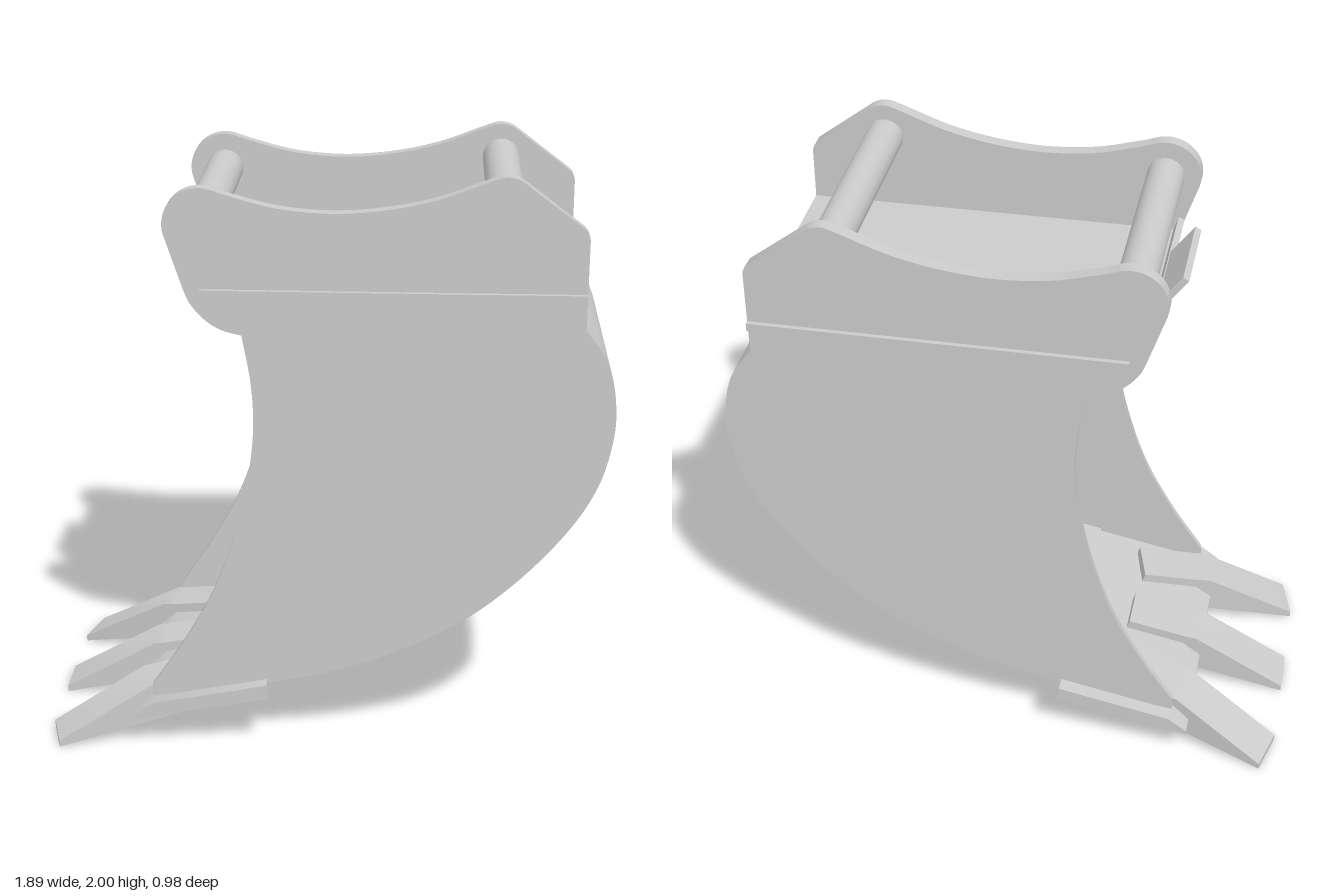
import * as THREE from 'three';
import { toCreasedNormals } from 'three/addons/utils/BufferGeometryUtils.js';

const material = new THREE.MeshStandardMaterial({ color: 0xcccccc });
const vec = ([x, y]) => new THREE.Vector2(x, y);
const curve = (pts, n = 40) => new THREE.SplineCurve(pts.map(vec)).getPoints(n);
const arc = (cx, cy, r, from, to, n = 16) => Array.from({ length: n + 1 }, (_, i) => {
  const a = THREE.MathUtils.degToRad(from + (to - from) * i / n);
  return new THREE.Vector2(cx + r * Math.cos(a), cy + r * Math.sin(a));
});

// Extrudes a closed side profile (x, y) between two z positions
function slab(name, points, z0, z1) {
  const geo = new THREE.ExtrudeGeometry(new THREE.Shape(points), { depth: z1 - z0, bevelEnabled: false });
  geo.translate(0, 0, z0);
  const mesh = new THREE.Mesh(toCreasedNormals(geo, 0.45), material);
  mesh.name = name;
  return mesh;
}

// Gives a line thickness t on its left side
function thicken(line, t) {
  const inner = line.map((p, i) => {
    const a = line[Math.max(i - 1, 0)], b = line[Math.min(i + 1, line.length - 1)];
    const d = b.clone().sub(a).normalize();
    return new THREE.Vector2(p.x - d.y * t, p.y + d.x * t);
  });
  return [...line, ...inner.reverse()];
}

function box(name, x0, x1, y0, y1, z0, z1) {
  const mesh = new THREE.Mesh(new THREE.BoxGeometry(x1 - x0, y1 - y0, z1 - z0), material);
  mesh.position.set((x0 + x1) / 2, (y0 + y1) / 2, (z0 + z1) / 2);
  mesh.name = name;
  return mesh;
}

export function createModel() {
  const group = new THREE.Group();
  group.name = 'excavatorBucket';

  // Shared profile lines
  const back = curve([[0.84, 1.51], [0.91, 1.41], [0.942, 1.29], [0.944, 1.15], [0.9, 0.975], [0.8, 0.805],
    [0.63, 0.615], [0.44, 0.465], [0.2, 0.345], [0, 0.277], [-0.19, 0.235]], 60);
  const mouth = curve([[-0.58, 0.22], [-0.46, 0.4], [-0.35, 0.61], [-0.27, 0.86], [-0.228, 1.1],
    [-0.228, 1.29], [-0.258, 1.475]]);
  const throat = curve([[-0.45, 1.65], [-0.425, 1.585], [-0.38, 1.53], [-0.325, 1.493], [-0.258, 1.475]], 16);

  const sidePlate = [...back, vec([-0.58, 0.175]), ...mouth];
  const ear = [
    ...throat, vec([0.84, 1.51]),
    ...arc(0.79, 1.8, 0.05, 0, 52, 8),
    ...arc(0.58, 1.915, 0.085, 53, 112, 10),
    ...curve([[0.5, 1.976], [0.36, 1.925], [0.2, 1.891], [0.03, 1.878], [-0.14, 1.892], [-0.29, 1.93], [-0.345, 1.948]], 30),
    ...arc(-0.385, 1.835, 0.12, 75, 195, 20),
  ];

  // Side plates, mounting ears and outer stiffener strips
  for (const [side, s] of [['left', 1], ['right', -1]]) {
    const span = (a, b) => (s > 0 ? [a, b] : [-b, -a]);
    const [name1, name2, name3] = ['SidePlate', 'Ear', 'Stiffener'].map((n) => side + n);
    group.add(slab(name1, sidePlate, ...span(0.41, 0.43)));
    group.add(slab(name2, ear, ...span(0.385, 0.431)));
    group.add(box(name3, -0.39, 0.84, 1.6, 1.627, ...span(0.43, 0.447)));
  }

  // Curved back shell, upper back plate and roof plate
  group.add(slab('backShell', thicken([...back].reverse(), 0.025), -0.411, 0.411));
  group.add(box('upperBackPlate', 0.815, 0.84, 1.505, 1.627, -0.386, 0.386));
  group.add(box('roofPlate', -0.425, 0.815, 1.6, 1.627, -0.386, 0.386));

  // Curved throat plate with a raised central tab
  group.add(slab('throatPlate', thicken([vec([-0.456, 1.67]), ...throat], 0.022), -0.386, 0.386));
  group.add(slab('throatTab', [[-0.452, 1.655], [-0.432, 1.668], [-0.515, 1.78], [-0.535, 1.768]].map(vec), -0.16, 0.16));

  // Mounting pins
  for (const [name, x, y] of [['frontPin', -0.385, 1.835], ['rearPin', 0.58, 1.885]]) {
    const pin = new THREE.Mesh(new THREE.CylinderGeometry(0.063, 0.063, 0.78, 32), material);
    pin.rotation.x = Math.PI / 2;
    pin.position.set(x, y, 0);
    pin.name = name;
    group.add(pin);
  }

  // Cutting edge
  group.add(slab('cuttingEdge',
    [[-0.64, 0.11], [-0.178, 0.202], [-0.187, 0.25], [-0.575, 0.173], [-0.64, 0.125]].map(vec), -0.48, 0.48));

  // Forked teeth gripping the cutting edge, the outer two splayed
  const tooth = [[-0.605, 0], [0, 0.125], [-0.006, 0.167], [-0.3, 0.112], [-0.235, 0.173], [-0.03, 0.214],
    [-0.04, 0.245], [-0.245, 0.205], [-0.285, 0.2], [-0.605, 0.022]].map(vec);
  for (const [name, s] of [['leftTooth', 1], ['middleTooth', 0], ['rightTooth', -1]]) {
    const mesh = slab(name, tooth, -0.08, 0.08);
    mesh.position.set(-0.338, 0, s * 0.255);
    mesh.rotation.y = s * THREE.MathUtils.degToRad(15);
    group.add(mesh);
  }
  return group;
}
